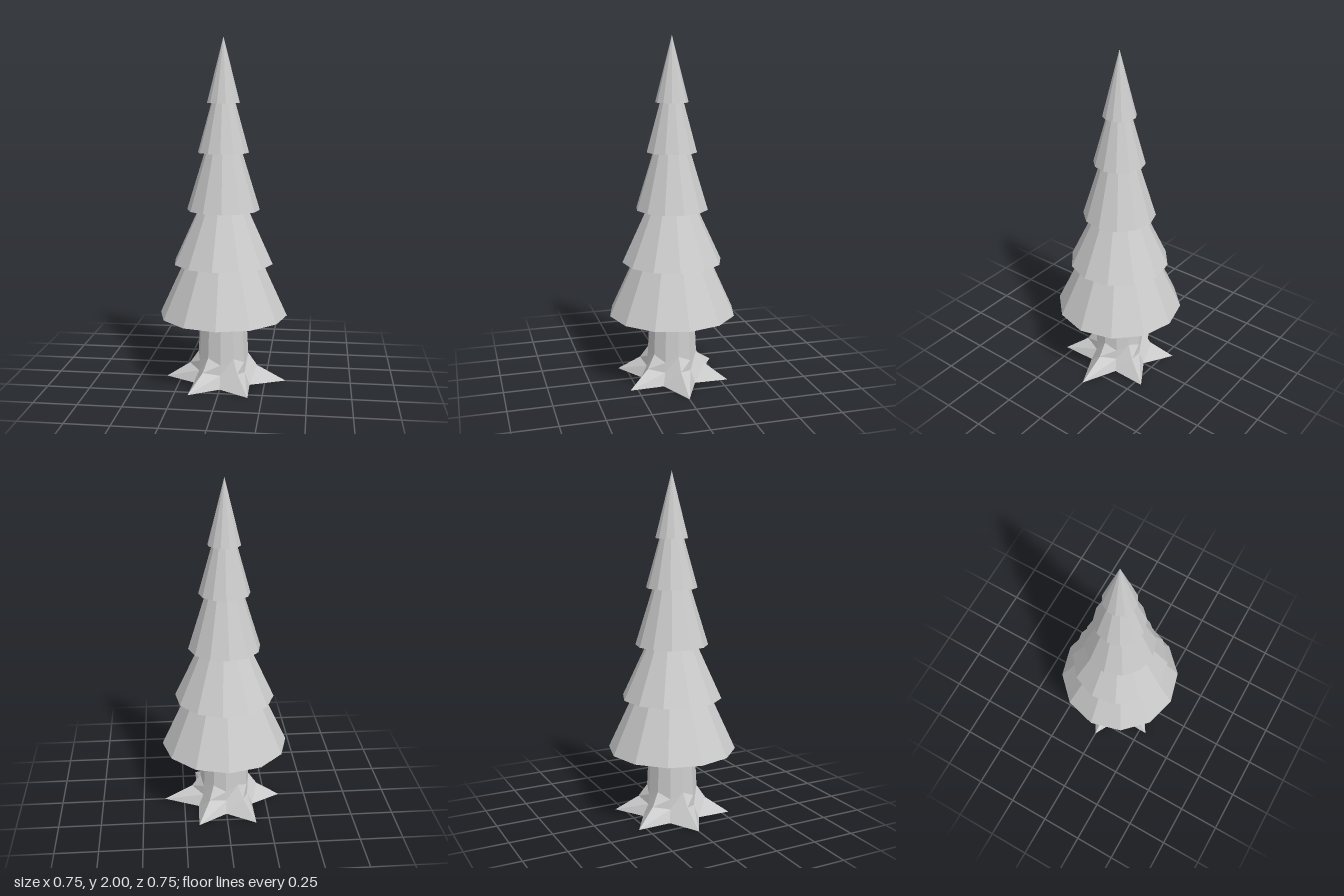
import * as THREE from 'three';

const SIDES = 12;

function grey(side = THREE.FrontSide) {
  return new THREE.MeshStandardMaterial({ color: 0xcccccc, flatShading: true, side });
}

// Trunk flaring into six pointed roots: even corners are ridges, odd corners are valleys.
// Each ring is [ridge radius, ridge height, valley radius, valley height], from top to ground.
function makeTrunk() {
  const rings = [
    [0.115, 0.8, 0.115, 0.8],
    [0.148, 0.165, 0.15, 0.13],
    [0.2, 0.09, 0.155, 0.07],
    [0.34, 0, 0.19, 0],
  ];
  const last = rings.length - 1;
  const geometry = new THREE.CylinderGeometry(1, 1, last, SIDES, last);
  const p = geometry.attributes.position;
  for (let i = 0; i < p.count; i++) {
    const ring = Math.round(last / 2 - p.getY(i));
    const [ridgeR, ridgeY, valleyR, valleyY] = rings[ring];
    const x = p.getX(i), z = p.getZ(i);
    const onAxis = Math.hypot(x, z) < 0.5;
    const step = (Math.round(Math.atan2(z, x) / (Math.PI / 6)) + SIDES) % SIDES;
    const ridge = step % 2 === 0;
    let r = onAxis ? 0 : ridge ? ridgeR : valleyR;
    // the root on the left side reaches a little further
    if (ring === last && step === 0 && !onAxis) r = 0.37;
    p.setXYZ(i, x * r, ridge ? ridgeY : valleyY, z * r);
  }
  const mesh = new THREE.Mesh(geometry, grey());
  mesh.name = 'trunkWithRoots';
  return mesh;
}

// Open cone of foliage, hollow underneath and turned slightly about the trunk.
function makeTier(name, base, radius, apex, turn) {
  const height = apex - base;
  const geometry = new THREE.ConeGeometry(radius, height, SIDES, 1, true);
  const mesh = new THREE.Mesh(geometry, grey(THREE.DoubleSide));
  mesh.position.y = base + height / 2;
  mesh.rotation.y = -THREE.MathUtils.degToRad(turn);
  mesh.name = name;
  return mesh;
}

export function createModel() {
  const tree = new THREE.Group();
  tree.name = 'coniferTree';
  tree.add(makeTrunk());

  // Foliage tiers from bottom to top: base height, rim radius, apex height, turn in degrees
  const tiers = [
    [0.4, 0.373, 1.21, 0],
    [0.71, 0.291, 1.34, 6],
    [1.02, 0.21, 1.7, -3.5],
    [1.35, 0.147, 1.88, 0],
    [1.63, 0.094, 2.0, 16],
  ];
  tiers.forEach((t, i) => tree.add(makeTier(`foliageTier${i + 1}`, ...t)));
  return tree;
}
